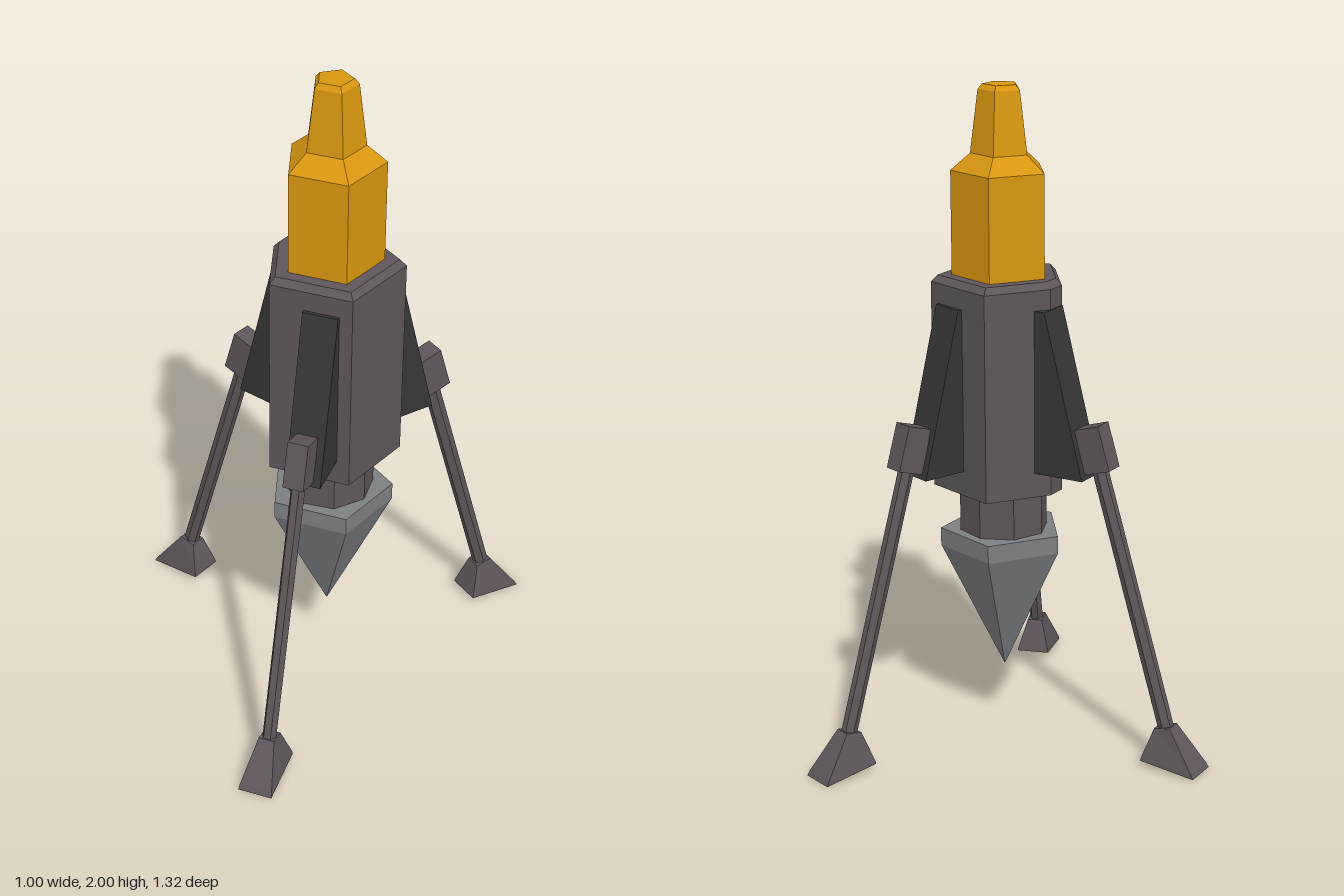
import * as THREE from 'three';

const paint = (name, color) => {
  const m = new THREE.MeshStandardMaterial({ color });
  m.name = name;
  return m;
};

// Skin over rings of [x, y, z] points listed from bottom to top, with closed ends and flat faces
function loft(rings) {
  const pos = [];
  const tri = (...pts) => pts.forEach((p) => pos.push(...p));
  const centre = (ring) => [0, 1, 2].map((k) => ring.reduce((s, p) => s + p[k], 0) / ring.length);
  const n = rings[0].length;
  const low = rings[0], high = rings[rings.length - 1];
  for (let i = 0; i < n; i++) {
    const j = (i + 1) % n;
    for (let r = 0; r < rings.length - 1; r++) {
      const a = rings[r], b = rings[r + 1];
      tri(a[i], b[i], b[j]);
      tri(a[i], b[j], a[j]);
    }
    tri(centre(low), low[i], low[j]);
    tri(centre(high), high[j], high[i]);
  }
  const g = new THREE.BufferGeometry();
  g.setAttribute('position', new THREE.Float32BufferAttribute(pos, 3));
  g.computeVertexNormals();
  return g;
}

// Pentagon with one corner towards -x
const pentagon = (radius, y) =>
  Array.from({ length: 5 }, (_, i) => {
    const a = Math.PI + (i * Math.PI * 2) / 5;
    return [radius * Math.cos(a), y, radius * Math.sin(a)];
  });

// Pentagon whose -x corner is cut off
function cutPentagon(radius, y) {
  const p = pentagon(radius, y);
  const mix = (a, b, t) => a.map((v, k) => v + (b[k] - v) * t);
  return [mix(p[0], p[4], 0.16), mix(p[0], p[1], 0.16), ...p.slice(1)];
}

const rect = (r0, r1, w, yIn, yOut) => [
  [r1, yOut, -w], [r1, yOut, w], [r0, yIn, w], [r0, yIn, -w],
];

export function createModel() {
  const gold = paint('gold', 0xd9970f);
  const steel = paint('dark steel', 0x5e565a);
  const black = paint('black metal', 0x363636);
  const grey = paint('drill grey', 0x7c8083);

  const model = new THREE.Group();
  model.name = 'drillingProbe';
  const add = (parent, name, geometry, material) => {
    const mesh = new THREE.Mesh(geometry, material);
    mesh.name = name;
    parent.add(mesh);
    return mesh;
  };

  // Central column
  const column = new THREE.Group();
  column.name = 'column';
  column.position.x = 0.2;
  model.add(column);

  add(column, 'body', loft([
    cutPentagon(0.21, 0.79), cutPentagon(0.21, 1.42), cutPentagon(0.19, 1.44),
  ]), steel);
  add(column, 'cap', loft([
    pentagon(0.148, 1.42), pentagon(0.148, 1.75), pentagon(0.09, 1.8),
    pentagon(0.066, 1.985), pentagon(0.053, 2),
  ]), gold);
  const neckShape = new THREE.CylinderGeometry(0.135, 0.135, 0.18, 8).toNonIndexed();
  neckShape.computeVertexNormals();
  add(column, 'neck', neckShape, steel).position.y = 0.72;
  add(column, 'drillTip', loft([
    pentagon(0.002, 0.2), pentagon(0.192, 0.595), pentagon(0.192, 0.65),
  ]), grey);

  // Leg parts, with x pointing outwards from the column
  const finWidth = 0.106;
  const fin = new THREE.ExtrudeGeometry(new THREE.Shape([
    new THREE.Vector2(0.06, 0.865), new THREE.Vector2(0.298, 0.865),
    new THREE.Vector2(0.17, 1.36), new THREE.Vector2(0.06, 1.36),
  ]), { depth: finWidth, bevelEnabled: false }).translate(0, 0, -finWidth / 2);
  const tilt = 0.291;
  const clamp = new THREE.BoxGeometry(0.085, 0.137, 0.062);
  const strut = new THREE.CylinderGeometry(0.025, 0.025, 0.86, 6).toNonIndexed();
  strut.scale(1, 1, 0.85);
  strut.computeVertexNormals();
  const foot = loft([
    rect(0.502, 0.68, 0.052, 0.02, 0),
    rect(0.504, 0.672, 0.05, 0.03, 0.014),
    rect(0.533, 0.585, 0.024, 0.122, 0.132),
  ]);

  // Three legs: [x, z, angle]
  const deg = Math.PI / 180;
  for (const [x, z, angle] of [[0.18, -0.021, 180], [0.233, 0, 71.8], [0.233, -0.002, -71.2]]) {
    const leg = new THREE.Group();
    leg.name = 'leg';
    leg.position.set(x, 0, z);
    leg.rotation.y = -angle * deg;
    add(leg, 'fin', fin, black);
    const joint = add(leg, 'clamp', clamp, steel);
    joint.position.set(0.317, 0.958, 0);
    joint.rotation.z = tilt;
    const rod = add(leg, 'strut', strut, steel);
    rod.position.set(0.443, 0.516, 0);
    rod.rotation.z = tilt;
    add(leg, 'foot', foot, steel);
    model.add(leg);
  }
  return model;
}
